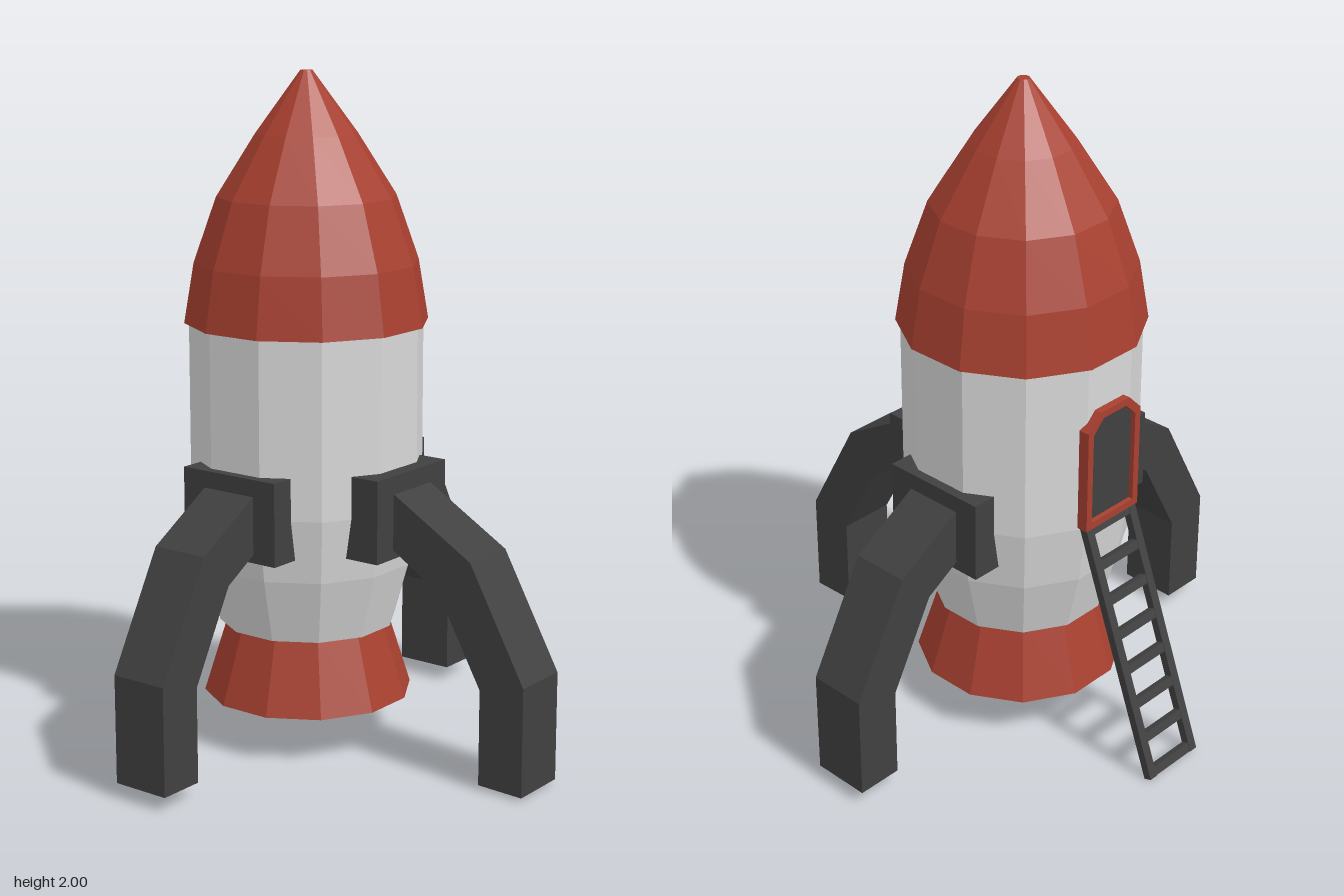
import * as THREE from 'three';

const red = new THREE.MeshStandardMaterial({ color: 0xa84030, flatShading: true });
red.name = 'red paint';
const white = new THREE.MeshStandardMaterial({ color: 0xd8d8d8, flatShading: true });
white.name = 'white hull';
const dark = new THREE.MeshStandardMaterial({ color: 0x404040, flatShading: true });
dark.name = 'dark metal';

const SIDES = 12;
const CENTRE_Z = -0.1;

function add(parent, name, geometry, material, x = 0, y = 0, z = 0) {
  const mesh = new THREE.Mesh(geometry, material);
  mesh.name = name;
  mesh.position.set(x, y, z);
  parent.add(mesh);
  return mesh;
}

// Twelve-sided turned part, with a flat facing front; profile runs bottom to top
function turned(profile) {
  const points = profile.map(([r, y]) => new THREE.Vector2(r, y));
  return new THREE.LatheGeometry(points, SIDES, Math.PI / SIDES);
}

function shapeOf(points) {
  return new THREE.Shape(points.map(([x, y]) => new THREE.Vector2(x, y)));
}

function extrude(shape, depth) {
  return new THREE.ExtrudeGeometry(shape, { depth, bevelEnabled: false });
}

// Leg built pointing along +x, then turned to its side of the hull
function makeLeg(name, angle, padOuter, outline) {
  const leg = new THREE.Group();
  leg.name = name;
  const inner = 0.22;
  add(leg, name + 'Pad', new THREE.BoxGeometry(padOuter - inner, 0.245, 0.335), dark,
    (padOuter + inner) / 2, 0.753, 0);
  add(leg, name + 'Strut', extrude(shapeOf(outline), 0.18), dark, 0, 0, -0.09);
  leg.rotation.y = angle;
  return leg;
}

// Doorway outline with clipped top corners, shrunk by an inset
function doorOutline(inset) {
  const w = 0.11 - inset, b = 0.757 + inset, t = 1.128 - inset;
  const c = 0.05 - inset * 0.4;
  return [[-w, b], [w, b], [w, t - c], [w - c, t], [c - w, t], [-w, t - c]];
}

export function createModel() {
  const rocket = new THREE.Group();
  rocket.name = 'rocket';
  const hull = new THREE.Group();
  hull.name = 'hull';
  hull.position.z = CENTRE_Z;
  rocket.add(hull);

  // Hull, nose cone and engine bell
  add(hull, 'body', turned([
    [0, 0.365], [0.265, 0.365], [0.32, 0.56], [0.347, 0.75], [0.347, 1.28],
  ]), white);
  add(hull, 'noseCone', turned([
    [0, 1.272], [0.361, 1.272], [0.331, 1.45], [0.264, 1.64], [0.15, 1.82], [0.018, 2], [0, 2],
  ]), red);
  add(hull, 'engineBell', turned([
    [0, 0.145], [0.314, 0.145], [0.244, 0.368],
  ]), red);

  // Three landing legs: two matching sides and a slightly longer front one
  const sideOutline = [
    [0.3, 0.616], [0.475, 0.59], [0.617, 0.328], [0.617, 0.047], [0.758, 0.047],
    [0.758, 0.367], [0.578, 0.698], [0.365, 0.825], [0.3, 0.825],
  ];
  sideOutline[0] = [0.3, 0.615];
  sideOutline.splice(1, 0, [0.365, 0.655]);
  sideOutline[0] = [0.3, 0.655];
  const sideLeg = sideOutline.map(([x, y]) => [x, x === 0.475 ? 0.59 : y]);
  const frontLeg = [
    [0.3, 0.655], [0.385, 0.655], [0.54, 0.56], [0.685, 0.3], [0.685, 0.016],
    [0.83, 0.012], [0.83, 0.335], [0.647, 0.667], [0.385, 0.822], [0.3, 0.822],
  ];
  hull.add(makeLeg('leftLeg', 0, 0.365, sideLeg));
  hull.add(makeLeg('rightLeg', Math.PI, 0.365, sideLeg));
  hull.add(makeLeg('frontLeg', -Math.PI / 2, 0.382, frontLeg));

  // Rear doorway: red frame around a recessed dark panel
  const frame = shapeOf(doorOutline(0));
  frame.holes.push(new THREE.Path(doorOutline(0.022).map(([x, y]) => new THREE.Vector2(x, y))));
  add(rocket, 'doorFrame', extrude(frame, 0.05), red, 0, 0, -0.458);
  add(rocket, 'doorPanel', extrude(shapeOf(doorOutline(0.02)), 0.03), dark, 0, 0, -0.443);

  // Ladder sloping from the doorsill down to the ground
  const ladder = new THREE.Group();
  ladder.name = 'ladder';
  ladder.position.set(0, 0.383, -0.577);
  ladder.rotation.x = Math.atan2(0.275, 0.755);
  const length = 0.8, thick = 0.025, rungs = 8;
  for (const side of [-1, 1]) {
    add(ladder, 'ladderRail', new THREE.BoxGeometry(0.028, length, thick), dark, side * 0.091);
  }
  for (let i = 0; i < rungs; i++) {
    const y = -length / 2 + 0.015 + (i * (length - 0.03)) / (rungs - 1);
    add(ladder, 'ladderRung', new THREE.BoxGeometry(0.16, 0.028, thick * 0.9), dark, 0, y);
  }
  rocket.add(ladder);

  return rocket;
}
